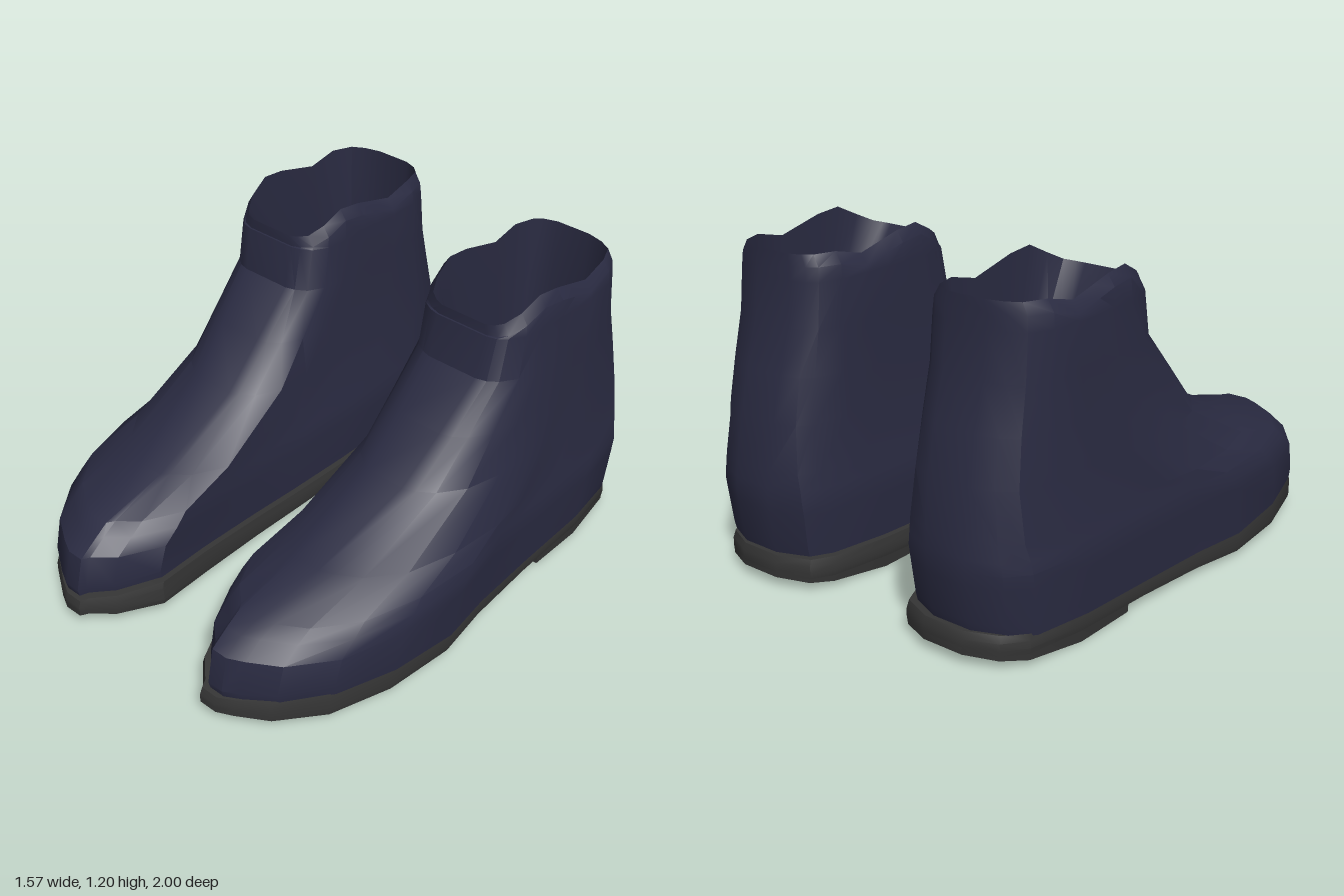
import * as THREE from 'three';
import { toCreasedNormals } from 'three/addons/utils/BufferGeometryUtils.js';

// Plan outline, heel (u = 0) to toe (u = 1): inner and outer x of the foot, then of the shaft
const OUTLINE = [
  [0, 0.37, 0.53, 0.35, 0.51],
  [0.025, 0.25, 0.645, 0.29, 0.585],
  [0.065, 0.21, 0.705, 0.255, 0.64],
  [0.18, 0.185, 0.735, 0.228, 0.678],
  [0.35, 0.185, 0.74, 0.225, 0.685],
  [0.5, 0.19, 0.755, 0.225, 0.685],
  [0.61, 0.195, 0.785, 0.225, 0.685],
  [0.75, 0.185, 0.76, 0.228, 0.68],
  [0.87, 0.165, 0.69, 0.24, 0.665],
  [0.95, 0.245, 0.57, 0.27, 0.63],
  [0.985, 0.32, 0.46, 0.31, 0.6],
  [1, 0.335, 0.4, 0.35, 0.56],
];
const STATIONS = OUTLINE.map((row) => row[0]);
const CENTRE = 0.455;

// Piecewise linear lookup; each row is [key, value, value, ...]
function lookup(table, key, column = 1) {
  let i = 1;
  while (i < table.length - 1 && table[i][0] < key) i++;
  const a = table[i - 1], b = table[i];
  const t = THREE.MathUtils.clamp((key - a[0]) / (b[0] - a[0]), 0, 1);
  return a[column] + (b[column] - a[column]) * t;
}
const heightAlong = (table) => (z) => lookup(table, z);

const soleTop = heightAlong([[-1, 0.12], [-0.7, 0.115], [-0.2, 0.105], [0.2, 0.11], [0.8, 0.145], [1, 0.115]]);
const soleBottom = heightAlong([[-1, 0.05], [-0.39, 0.04], [0.2, 0.025], [0.5, 0.03], [1, 0.055]]);
const heelBottom = heightAlong([[-1, 0.04], [-0.7, 0.004], [-0.55, 0], [-0.39, 0.01]]);
const collar = heightAlong([[-0.86, 1.17], [-0.73, 1.17], [-0.63, 1.14], [-0.38, 1.205],
  [-0.3, 1.19], [-0.25, 1.14], [-0.18, 1.12]]);

// One closed ring: outer edge from heel to toe, then inner edge back again
function ring({ y, back = -1, front = 1, shaft = 0, scale = 1, dIn = 0, dOut = 0, us = STATIONS }) {
  const outer = [], inner = [];
  for (const u of us) {
    const z = back + (front - back) * u;
    const h = typeof y === 'function' ? y(z) : y;
    const edge = (foot, top, d) => {
      const x = THREE.MathUtils.lerp(lookup(OUTLINE, u, foot), lookup(OUTLINE, u, top), shaft) + d;
      return CENTRE + (x - CENTRE) * scale;
    };
    outer.push([edge(2, 4, dOut), h, z]);
    inner.unshift([edge(1, 3, dIn), h, z]);
  }
  return [...outer, ...inner];
}

// Skin between stacked rings, with optional flat ends; side = -1 mirrors it
function loft(name, material, side, rings, capStart, capEnd) {
  const n = rings[0].length, index = [];
  const tri = (a, b, c) => (side > 0 ? index.push(a, b, c) : index.push(a, c, b));
  for (let r = 0; r < rings.length - 1; r++) {
    for (let j = 0; j < n; j++) {
      const a = r * n + j, b = r * n + (j + 1) % n;
      tri(a, a + n, b);
      tri(b, a + n, b + n);
    }
  }
  const cap = (base, up) => {
    for (let i = 0; i < n / 2 - 1; i++) {
      const a = base + i, b = a + 1, d = base + n - 1 - i, c = d - 1;
      if (up) { tri(a, d, b); tri(b, d, c); } else { tri(a, b, d); tri(b, c, d); }
    }
  };
  if (capStart) cap(0, false);
  if (capEnd) cap((rings.length - 1) * n, true);
  const geometry = new THREE.BufferGeometry();
  const points = rings.flat().flatMap(([x, y, z]) => [x * side, y, z]);
  geometry.setAttribute('position', new THREE.Float32BufferAttribute(points, 3));
  geometry.setIndex(index);
  const mesh = new THREE.Mesh(toCreasedNormals(geometry, 0.55), material);
  mesh.name = name;
  return mesh;
}

function createBoot(side, leather, rubber) {
  const boot = new THREE.Group();

  // Upper: outside skin up to the collar, then the lining down to the insole
  const upper = [
    { y: (z) => soleTop(z) - 0.01, back: -0.97, front: 0.97, scale: 0.97 },
    { y: (z) => soleTop(z) + 0.03, back: -0.98, front: 0.98, scale: 0.975 },
    { y: 0.28, back: -0.995, front: 0.95 },
    { y: 0.33, back: -1, front: 0.88 },
    { y: 0.37, back: -0.998, front: 0.82, shaft: 0.1 },
    { y: 0.43, back: -0.993, front: 0.55, shaft: 0.3 },
    { y: 0.6, back: -0.967, front: 0.18, shaft: 0.65 },
    { y: 0.76, back: -0.93, front: 0.02, shaft: 0.82 },
    { y: 0.92, back: -0.885, front: -0.14, shaft: 0.95 },
    { y: 1.08, back: -0.867, front: -0.173, shaft: 1 },
    { y: (z) => collar(z) - 0.04, back: -0.862, front: -0.18, shaft: 1, scale: 0.98 },
    { y: collar, back: -0.86, front: -0.18, shaft: 1, scale: 0.86 },
    { y: 0.95, back: -0.85, front: -0.27, shaft: 1, scale: 0.84 },
    { y: 0.7, back: -0.85, front: -0.33, shaft: 1, scale: 0.84 },
  ];
  boot.add(loft('upper', leather, side, upper.map(ring), true, true));

  // Sole, with a slightly narrower top edge
  const edge = { dIn: -0.022, dOut: -0.015 };
  boot.add(loft('sole', rubber, side, [
    ring({ y: soleBottom, scale: 0.985, ...edge }),
    ring({ y: (z) => soleBottom(z) + 0.02, ...edge }),
    ring({ y: (z) => soleTop(z) - 0.025, scale: 0.99, ...edge }),
    ring({ y: soleTop, back: -0.99, front: 0.99, scale: 0.98, ...edge }),
  ], true, true));

  // Low heel block under the back of the sole
  const us = [0, 0.025, 0.065, 0.18, 0.305];
  boot.add(loft('heel', rubber, side, [
    ring({ y: heelBottom, us, scale: 0.975, ...edge }),
    ring({ y: 0.065, us, scale: 0.99, ...edge }),
  ], true, true));
  return boot;
}

export function createModel() {
  const leather = new THREE.MeshStandardMaterial({ color: 0x2a2b42 });
  const rubber = new THREE.MeshStandardMaterial({ color: 0x353535 });
  const model = new THREE.Group();
  model.name = 'boots';
  for (const [side, name] of [[1, 'leftBoot'], [-1, 'rightBoot']]) {
    const boot = createBoot(side, leather, rubber);
    boot.name = name;
    model.add(boot);
  }
  return model;
}
